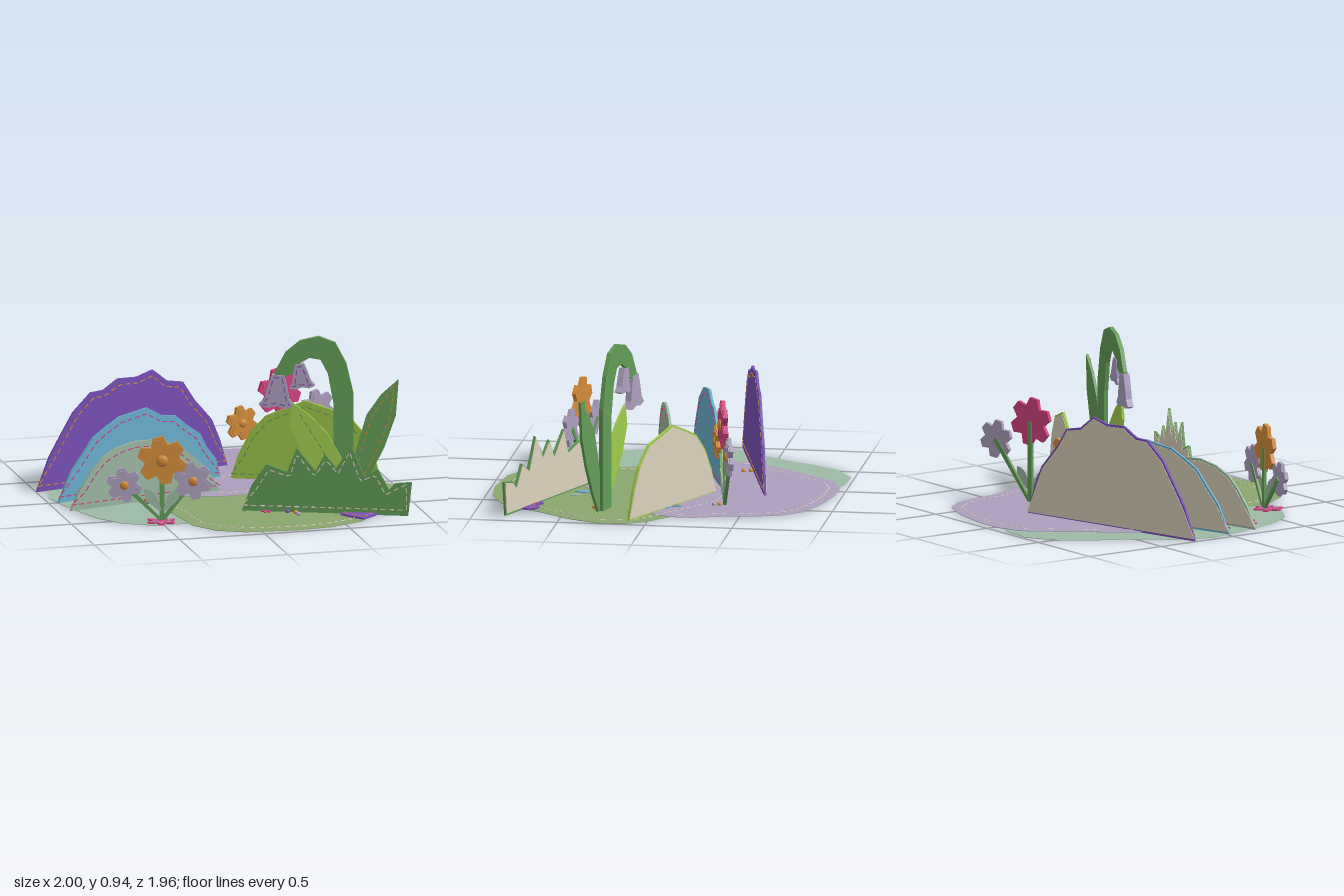
import * as THREE from 'three';
import { mergeGeometries } from 'three/addons/utils/BufferGeometryUtils.js';

const paint = (name, color) => Object.assign(new THREE.MeshStandardMaterial({ color }), { name });
const M = {
  sage: paint('sage felt', 0x9dbaa4), lavender: paint('lavender felt', 0xad9fbe),
  olive: paint('olive felt', 0x8aa66e), purple: paint('purple felt', 0x7a50b8),
  blue: paint('blue felt', 0x6cb0cf), orange: paint('orange felt', 0xd48c3a),
  pink: paint('pink felt', 0xd4427f), green: paint('green felt', 0x629c57),
  lime: paint('lime felt', 0xa0cc4e), cream: paint('cream backing', 0xddd2bd),
};
const V = (p) => new THREE.Vector2(p[0], p[1]);

// Moves an outline inwards by d, keeping its corners
function inset(pts, d) {
  const s = Math.sign(THREE.ShapeUtils.area(pts.map(V))), n = pts.length;
  return pts.map((p, i) => {
    const a = pts[(i + n - 1) % n], b = pts[(i + 1) % n];
    const t = V(b).sub(V(a)).normalize();
    return [p[0] - t.y * d * s, p[1] + t.x * d * s];
  });
}

// Flat felt piece in the local xy plane
function plate(parent, name, pts, depth, z, mat) {
  const geo = new THREE.ExtrudeGeometry(new THREE.Shape(pts.map(V)), { depth, bevelEnabled: false });
  const mesh = new THREE.Mesh(geo, mat);
  mesh.name = name;
  mesh.position.z = z;
  parent.add(mesh);
  return mesh;
}

// Running stitch along a polyline, as little flat bars
function stitch(parent, name, pts, z, mat, closed = true) {
  const path = new THREE.CurvePath();
  const n = pts.length;
  for (let i = 0; i < (closed ? n : n - 1); i++) path.add(new THREE.LineCurve(V(pts[i]), V(pts[(i + 1) % n])));
  const count = Math.max(2, Math.round(path.getLength() / 0.05));
  const bars = [];
  for (let i = 0; i < count; i++) {
    const a = path.getPointAt(i / count), b = path.getPointAt((i + 0.6) / count);
    const g = new THREE.BoxGeometry(a.distanceTo(b), 0.006, 0.004);
    g.rotateZ(Math.atan2(b.y - a.y, b.x - a.x));
    g.translate((a.x + b.x) / 2, (a.y + b.y) / 2, z);
    bars.push(g);
  }
  const mesh = new THREE.Mesh(mergeGeometries(bars), mat);
  mesh.name = name;
  parent.add(mesh);
}

// Upright plane from (x0,z0) to (x1,z1); at(x,y) turns front positions into local ones
function stand(root, name, [x0, z0, x1, z1]) {
  const g = new THREE.Group();
  const a = Math.atan2(z0 - z1, x1 - x0);
  g.name = name;
  g.position.set(x0, 0, z0);
  g.rotation.y = a;
  root.add(g);
  const at = (p) => [(p[0] - x0) / Math.cos(a), p[1]];
  return { g, at };
}

// Felt card with cream backing and a row of stitches
function card(root, name, line, pts, mat, thread) {
  const { g, at } = stand(root, name, line);
  const o = pts.map(at);
  plate(g, name + 'Front', o, 0.014, -0.007, mat);
  plate(g, name + 'Backing', inset(o, 0.012), 0.003, -0.01, M.cream);
  stitch(g, name + 'Stitches', inset(o, 0.035), 0.008, thread);
}

// Points around a blossom or star
function star(cx, cy, R, n, valley, blunt, turn = Math.PI / 2) {
  const out = [];
  for (let i = 0; i < n; i++) {
    const a = turn + i * 2 * Math.PI / n;
    for (const [da, r] of [[-blunt, R], [blunt, R], [Math.PI / n, R * valley]])
      out.push([cx + r * Math.cos(a + da), cy + r * Math.sin(a + da)]);
  }
  return out;
}

function leaf(a, b, w) {
  const d = V(b).sub(V(a)), s = (t, k) => [a[0] + d.x * t - d.y * k * w / d.length(), a[1] + d.y * t + d.x * k * w / d.length()];
  return [s(0, -0.2), s(0.35, -0.8), s(0.65, -1), s(0.87, -0.6), s(1, 0), s(0.87, 0.6), s(0.65, 1), s(0.35, 0.8), s(0, 0.2)];
}

// Three blossoms on stems sharing one foot: [x, y, radius, colour]
function bouquet(root, name, line, foot, heads) {
  const { g, at } = stand(root, name, line);
  const f = at(foot);
  heads.forEach(([x, y, R, mat], i) => {
    const [cx, cy] = at([x, y]);
    const dx = cx - f[0], l = Math.hypot(dx, cy), w = 0.014, nx = cy / l * w, ny = -dx / l * w;
    plate(g, 'stem', [[f[0] - nx, 0.005], [f[0] + nx, 0.005], [cx + nx, cy + ny], [cx - nx, cy - ny]], 0.016, -0.012 + i * 0.001, M.green);
    const o = star(cx, cy, R, 6, 0.68, 0.2, 1.75);
    plate(g, 'blossom', o, 0.022, -0.006, mat);
    plate(g, 'blossomFace', inset(o, 0.016), 0.006, 0.016, mat);
    const knob = new THREE.Mesh(new THREE.SphereGeometry(R * 0.25, 12, 8), M.orange);
    knob.name = 'blossomCentre';
    knob.scale.z = 0.5;
    knob.position.set(cx, cy, 0.022);
    g.add(knob);
  });
  for (const s of [-1, 1]) plate(g, 'smallLeaf', leaf([f[0] + s * 0.01, 0.07], [f[0] + s * 0.1, 0.2], 0.03), 0.008, 0.004, M.sage);
}

export function createModel() {
  const root = new THREE.Group();
  root.name = 'feltGarden';

  // Ground patches, drawn as (x, z) outlines
  const ground = new THREE.Group();
  ground.name = 'ground';
  ground.rotation.x = -Math.PI / 2;
  root.add(ground);
  const flip = (pts) => pts.map(([x, z]) => [x, -z]);
  const sage = flip([[-0.35, -0.98], [-0.15, -0.97], [0.05, -0.86], [0.2, -0.62], [0.33, -0.3], [0.41, 0.05], [0.43, 0.35], [0.33, 0.58], [0.1, 0.66],
    [-0.37, 0.66], [-0.55, 0.66], [-0.72, 0.56], [-0.82, 0.42], [-0.88, 0.25], [-0.93, 0.08], [-0.97, -0.11], [-0.92, -0.28], [-0.82, -0.4], [-0.72, -0.55], [-0.63, -0.72], [-0.53, -0.87]]);
  const olive = flip([[0.8, -0.1], [0.93, 0], [1, 0.12], [1, 0.28], [0.92, 0.45], [0.8, 0.6], [0.72, 0.73], [0.6, 0.88], [0.4, 0.96], [0.2, 0.98], [-0.1, 0.95],
    [-0.25, 0.87], [-0.35, 0.72], [-0.37, 0.55], [-0.39, 0.4], [-0.42, 0.25], [-0.48, 0.08], [-0.48, -0.03], [-0.35, -0.15], [-0.1, -0.3], [0.15, -0.41], [0.4, -0.38], [0.6, -0.25]]);
  const lavender = flip([[-0.05, -0.96], [0.12, -0.96], [0.3, -0.93], [0.42, -0.9], [0.57, -0.84], [0.67, -0.73], [0.71, -0.6], [0.73, -0.45], [0.8, -0.25], [0.8, -0.12],
    [0.74, 0], [0.55, 0.06], [0.3, 0.1], [0, 0.12], [-0.2, 0.07], [-0.4, -0.02], [-0.55, -0.12], [-0.62, -0.25], [-0.62, -0.4], [-0.5, -0.55], [-0.38, -0.7], [-0.28, -0.82], [-0.2, -0.91]]);
  plate(ground, 'sagePatch', sage, 0.003, 0, M.sage);
  plate(ground, 'olivePatch', olive, 0.003, 0.003, M.olive);
  plate(ground, 'lavenderPatch', lavender, 0.003, 0.006, M.lavender);
  stitch(ground, 'oliveStitches', inset(olive, 0.07), 0.009, M.cream);
  stitch(ground, 'lavenderStitches', inset(lavender, 0.06), 0.009, M.cream);

  // Flat stars, heart and scraps on the ground
  for (const [x, z, R, n, mat, thread] of [[-0.41, -0.12, 0.1, 5, M.lime, M.pink], [0.52, -0.06, 0.085, 5, M.blue, M.orange], [-0.5, 0.6, 0.085, 6, M.pink, M.lavender]]) {
    const o = star(x, -z, R, n, 0.6, 0.12, 1.3);
    plate(ground, 'groundStar', o, 0.008, 0.006, mat);
    stitch(ground, 'starStitches', inset(o, 0.02), 0.015, thread);
  }
  const heart = flip([[0.62, 0.85], [0.56, 0.78], [0.52, 0.71], [0.54, 0.66], [0.59, 0.64], [0.63, 0.68], [0.68, 0.65], [0.73, 0.66], [0.75, 0.71], [0.71, 0.78]]);
  plate(ground, 'heart', heart, 0.01, 0.006, M.purple);
  stitch(ground, 'heartStitches', inset(heart, 0.025), 0.017, M.orange);
  plate(ground, 'greenScrap', leaf([0.02, -0.48], [0.09, -0.39], 0.025), 0.006, 0.006, M.green);
  plate(ground, 'blueScrap', leaf([0.25, -0.51], [0.25, -0.41], 0.027), 0.006, 0.006, M.blue);
  plate(ground, 'sageScrap', leaf([0.36, -0.52], [0.32, -0.46], 0.02), 0.006, 0.006, M.sage);
  plate(ground, 'lavenderScrap', star(0.14, -0.44, 0.03, 5, 0.6, 0.2), 0.006, 0.006, M.lavender);
  plate(ground, 'pinkScrap', star(0.135, -0.53, 0.03, 5, 0.5, 0.15), 0.006, 0.006, M.pink);

  // Beads
  const beads = [[-0.385, -0.4, 'orange'], [-0.375, -0.36, 'orange'], [-0.46, 0.12, 'orange'], [-0.46, 0.16, 'lavender'], [0.47, -0.35, 'orange'], [0.48, -0.32, 'lavender'],
    [0.61, 0.28, 'lime'], [0.645, 0.3, 'orange'], [0.65, 0.34, 'orange'], [0.245, 0.58, 'purple'], [0.285, 0.61, 'orange'], [0.29, 0.65, 'lavender']];
  for (const [x, z, c] of beads) {
    const b = new THREE.Mesh(new THREE.SphereGeometry(0.013, 10, 8), M[c]);
    b.name = 'bead';
    b.position.set(x, 0.014, z);
    root.add(b);
  }

  // Hills
  card(root, 'purpleHill', [-0.98, -0.27, 0.2, -0.57], [[-1, 0.003], [0.2, 0.003], [0.15, 0.17], [0.1, 0.29], [-0.01, 0.42], [-0.08, 0.53], [-0.18, 0.55], [-0.27, 0.625],
    [-0.37, 0.595], [-0.49, 0.6], [-0.58, 0.545], [-0.66, 0.54], [-0.77, 0.44], [-0.84, 0.33], [-0.92, 0.2]], M.purple, M.orange);
  card(root, 'blueHill', [-0.94, 0.01, 0.08, -0.31], [[-0.95, 0.003], [0.09, 0.003], [0.06, 0.12], [0, 0.2], [-0.04, 0.28], [-0.12, 0.34], [-0.2, 0.41], [-0.28, 0.42],
    [-0.38, 0.48], [-0.47, 0.465], [-0.56, 0.45], [-0.65, 0.4], [-0.73, 0.35], [-0.79, 0.27], [-0.87, 0.17]], M.blue, M.pink);
  card(root, 'sageHill', [-0.93, 0.21, 0, -0.02], [[-0.93, 0.003], [0.01, 0.003], [-0.06, 0.13], [-0.14, 0.21], [-0.22, 0.28], [-0.31, 0.33], [-0.42, 0.355],
    [-0.53, 0.36], [-0.64, 0.335], [-0.73, 0.29], [-0.8, 0.22], [-0.87, 0.12]], M.sage, M.pink);
  card(root, 'limeHill', [0.15, -0.27, 0.9, 0.09], [[0.14, 0.003], [0.93, 0.003], [0.89, 0.17], [0.84, 0.3], [0.75, 0.41], [0.65, 0.44], [0.53, 0.48],
    [0.42, 0.43], [0.32, 0.38], [0.24, 0.28], [0.18, 0.15]], M.lime, M.green);

  // Grass tuft
  card(root, 'grass', [0.02, 0.46, 0.88, 0.81], [[0.01, 0.003], [0.89, 0.003], [0.91, 0.2], [0.82, 0.19], [0.79, 0.15], [0.73, 0.27], [0.66, 0.22], [0.59, 0.4],
    [0.51, 0.27], [0.45, 0.35], [0.4, 0.25], [0.3, 0.38], [0.25, 0.24], [0.14, 0.28], [0.06, 0.15]], M.green, M.cream);

  // Bouquets
  bouquet(root, 'frontBouquet', [-0.76, 0.52, -0.23, 0.64], [-0.49, 0], [[-0.7, 0.22, 0.1, M.lavender], [-0.32, 0.24, 0.11, M.lavender], [-0.49, 0.36, 0.14, M.orange]]);
  bouquet(root, 'backBouquet', [0.13, -0.28, 0.78, -0.47], [0.45, 0], [[0.21, 0.32, 0.1, M.orange], [0.69, 0.34, 0.11, M.lavender], [0.45, 0.47, 0.14, M.pink]]);

  // Drooping bellflower with its leaves
  const { g, at } = stand(root, 'bellflower', [0.2, 0.14, 0.94, 0.36]);
  const stem = [[0.6, 0.005], [0.71, 0.005], [0.71, 0.6], [0.67, 0.78], [0.61, 0.9], [0.52, 0.935], [0.42, 0.91], [0.34, 0.84], [0.28, 0.72], [0.27, 0.64],
    [0.34, 0.7], [0.39, 0.72], [0.42, 0.78], [0.47, 0.81], [0.53, 0.8], [0.57, 0.72], [0.6, 0.55]].map(at);
  plate(g, 'archedStem', stem, 0.024, -0.012, M.green);
  const rightLeaf = [[0.66, 0.005], [0.73, 0.005], [0.8, 0.13], [0.88, 0.3], [0.94, 0.48], [0.955, 0.69], [0.86, 0.6], [0.78, 0.48], [0.73, 0.3]].map(at);
  plate(g, 'rightLeaf', rightLeaf, 0.016, 0.006, M.green);
  stitch(g, 'rightLeafStitches', inset(rightLeaf, 0.03), 0.023, M.orange);
  const leftLeaf = [[0.62, 0.005], [0.69, 0.005], [0.65, 0.22], [0.57, 0.37], [0.48, 0.47], [0.38, 0.55], [0.36, 0.43], [0.42, 0.28], [0.52, 0.13]].map(at);
  plate(g, 'leftLeaf', leftLeaf, 0.016, 0.008, M.lime);
  stitch(g, 'leftLeafStitches', [[0.64, 0.06], [0.54, 0.28], [0.41, 0.5]].map(at), 0.025, M.green, false);

  // Hanging bells: [x, y, scale, tilt]
  for (const [x, y, s, tilt] of [[0.3, 0.71, 1, -0.05], [0.415, 0.775, 0.75, 0.12]]) {
    const o = [[-0.035, 0], [0.035, 0], [0.055, -0.07], [0.07, -0.14], [0.1, -0.18], [0.05, -0.195], [0, -0.18], [-0.05, -0.195], [-0.1, -0.18], [-0.07, -0.14], [-0.055, -0.07]]
      .map(([a, b]) => [a * s, b * s]);
    const bell = new THREE.Group();
    bell.name = 'bell';
    const c = at([x, y]);
    bell.position.set(c[0], c[1], 0);
    bell.rotation.z = tilt;
    plate(bell, 'bellPetals', o, 0.036, -0.016, M.lavender);
    stitch(bell, 'bellStitches', inset(o, 0.018), 0.021, M.purple);
    g.add(bell);
  }
  return root;
}
